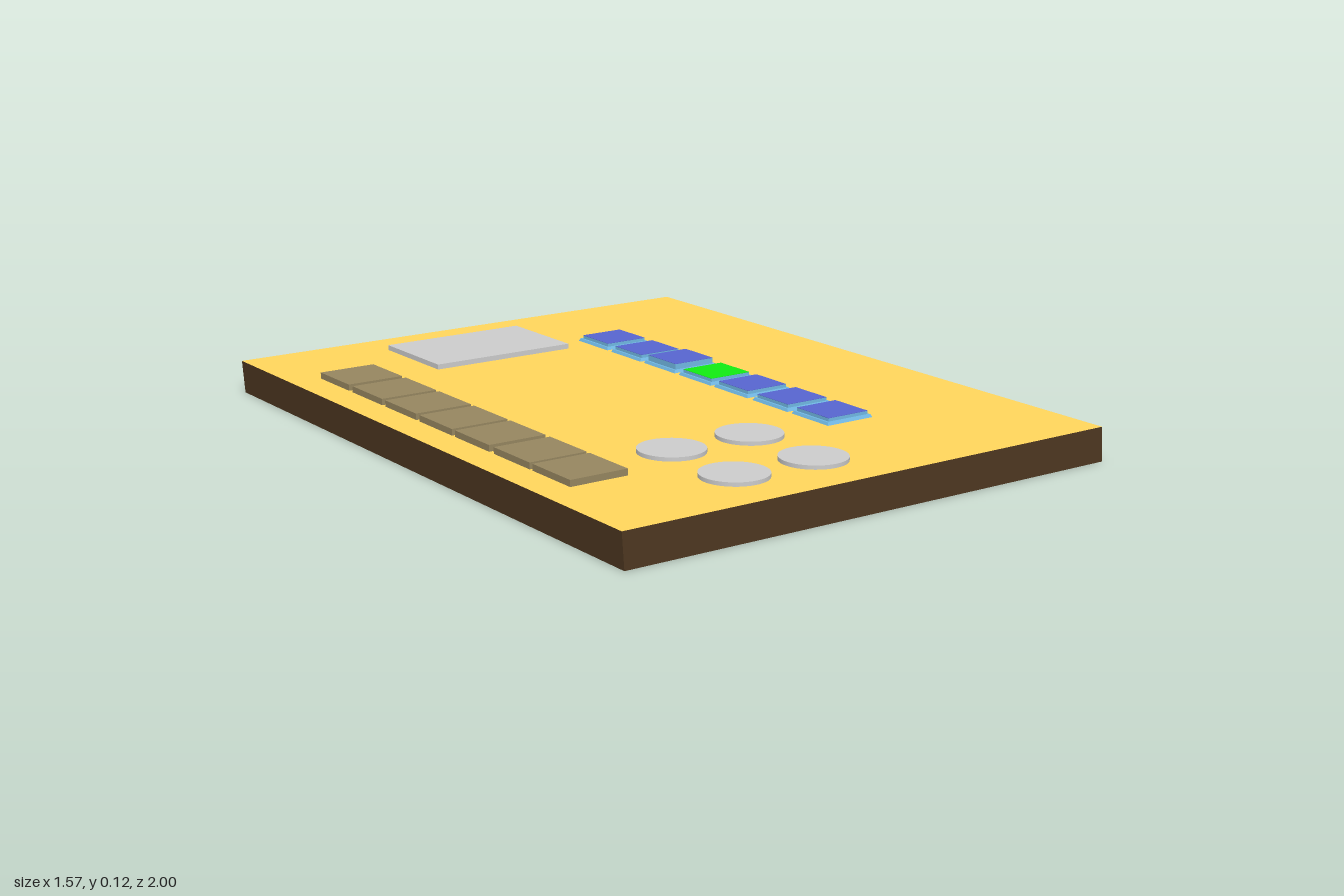
import * as THREE from 'three';

const DECK = 0.098;
const mat = (color) => new THREE.MeshStandardMaterial({ color });
const gold = mat(0xfed55b), brown = mat(0x4d3720), slate = mat(0x5f6a66);
const taupe = mat(0x95855f), sky = mat(0x70b8e4), blue = mat(0x5765cf);
const green = mat(0x12ea12), grey = mat(0xcccccc);

export function createModel() {
  const model = new THREE.Group();

  const add = (name, geometry, material, parent = model) => {
    const mesh = new THREE.Mesh(geometry, material);
    mesh.name = name;
    parent.add(mesh);
    return mesh;
  };

  // Box from y0 to y1, optionally with its top inset on all sides
  const block = (x, z, w, d, y0, y1, inset = 0) => {
    const g = new THREE.BoxGeometry(w, y1 - y0, d);
    const p = g.attributes.position;
    for (let i = 0; i < p.count; i++) {
      if (p.getY(i) > 0) {
        p.setX(i, p.getX(i) - Math.sign(p.getX(i)) * inset);
        p.setZ(i, p.getZ(i) - Math.sign(p.getZ(i)) * inset);
      }
    }
    g.translate(x, (y0 + y1) / 2, z);
    g.computeVertexNormals();
    return g;
  };

  // Board: a box leaning slightly to -x, split into deck, walls and underside
  const board = new THREE.Group();
  board.name = 'board';
  model.add(board);
  const slab = new THREE.BoxGeometry(1.56, DECK, 2).translate(0, DECK / 2, 0);
  const p = slab.attributes.position;
  for (let i = 0; i < p.count; i++) {
    p.setX(i, p.getX(i) + (p.getY(i) > DECK / 2 ? -0.004 : 0.003));
  }
  slab.computeVertexNormals();
  const faces = (groups) => {
    const g = slab.clone();
    const index = Array.from(slab.index.array);
    g.setIndex(groups.flatMap((n) => index.slice(n * 6, n * 6 + 6)));
    g.clearGroups();
    return g;
  };
  add('deck', faces([2]), gold, board);
  add('walls', faces([0, 1, 4, 5]), brown, board);
  add('underside', faces([3]), slate, board);

  // Row of plain square tiles on the right side
  [-0.587, -0.393, -0.203, -0.013, 0.175, 0.37, 0.555].forEach((z, i) => {
    add(`squareTile${i + 1}`, block(-0.604, z, 0.172, 0.172, DECK, 0.116), taupe);
  });

  // Row of framed keys, the middle one green
  [-0.56, -0.383, -0.21, -0.033, 0.138, 0.318, 0.493].forEach((z, i) => {
    const key = new THREE.Group();
    key.name = `key${i + 1}`;
    model.add(key);
    const top = i === 2 ? 0.122 : 0.115;
    add('keyFrame', block(0.26, z, 0.156, 0.156, DECK, 0.106, 0.004), sky, key);
    add('keyBody', block(0.26, z, 0.136, 0.136, 0.106, top), sky, key);
    add('keyFace', block(0.26, z, 0.136, 0.136, top, top + 0.001), i === 3 ? green : blue, key);
  });

  // Flat rectangular panel at the back
  add('panel', block(-0.13, -0.72, 0.458, 0.3, DECK, 0.113), grey);

  // Four round pads at the front
  for (const x of [-0.305, -0.052]) {
    for (const z of [0.53, 0.797]) {
      add('roundPad', new THREE.CylinderGeometry(0.092, 0.092, 0.011, 48), grey)
        .position.set(x, DECK + 0.0055, z);
    }
  }

  return model;
}
